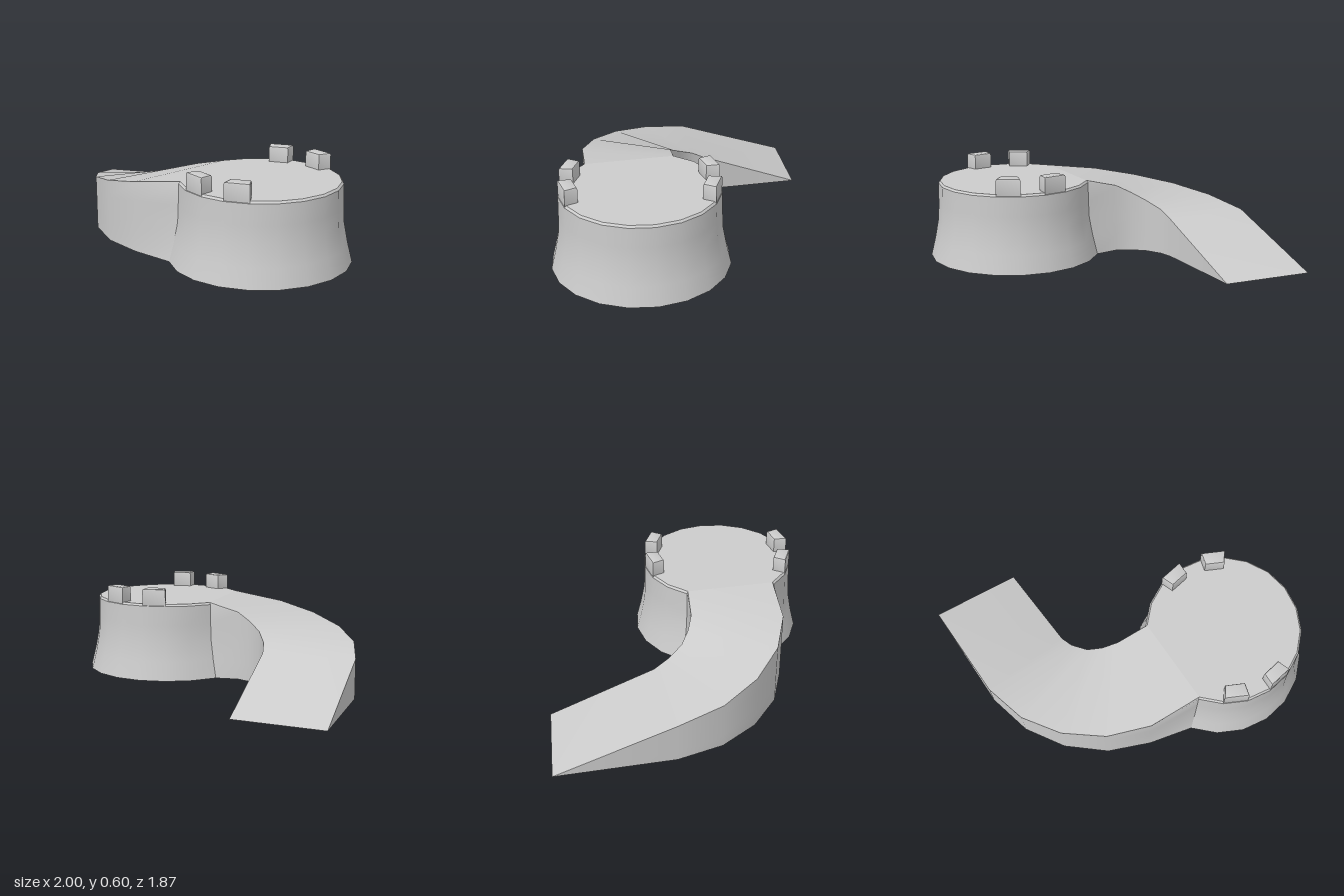
import * as THREE from 'three';
import { toCreasedNormals } from 'three/addons/utils/BufferGeometryUtils.js';

const CX = 0.435, CZ = 0.37, TOP = 0.5, STEP = Math.PI / 10;

// flared tower profile: [radius, height], ending in a small bevel
const PROFILE = [[0.56, 0], [0.53, 0.12], [0.505, 0.25], [0.5, 0.36], [0.497, 0.487], [0.486, 0.5]];

// ramp stations: outer x, outer z, inner x, inner z, height
const RAMP = [
  [-1, -0.94, -0.42, -0.89, 0],
  [-1, -0.2, -0.42, -0.23, 0.25],
  [-0.93, 0.09, -0.4, -0.14, 0.3],
  [-0.78, 0.33, -0.34, -0.04, 0.35],
  [-0.56, 0.52, -0.26, 0.02, 0.4],
  [-0.3, 0.63, -0.165, 0.06, 0.45],
];

const material = new THREE.MeshStandardMaterial({ color: 0xcccccc, side: THREE.DoubleSide });

// surface through a list of equally long point columns
function loft(columns) {
  const rows = columns[0].length;
  const index = [];
  for (let c = 0; c < columns.length - 1; c++) {
    for (let r = 0; r < rows - 1; r++) {
      const a = c * rows + r, b = a + rows;
      index.push(a, b, b + 1, a, b + 1, a + 1);
    }
  }
  return surface(columns.flat(), index);
}

function surface(points, index) {
  const g = new THREE.BufferGeometry();
  g.setAttribute('position', new THREE.Float32BufferAttribute(points.flat(), 3));
  g.setIndex(index);
  return toCreasedNormals(g, 0.62);
}

function addMesh(parent, name, geometry) {
  const mesh = new THREE.Mesh(geometry, material);
  mesh.name = name;
  parent.add(mesh);
  return mesh;
}

// one battlement block: a tapered footprint raised with softened edges
function merlonGeometry() {
  const b = 0.012;
  const shape = new THREE.Shape([
    [-0.076 + b, 0.49 - b], [-0.064 + b, 0.405 + b],
    [0.064 - b, 0.405 + b], [0.076 - b, 0.49 - b],
  ].map(([x, y]) => new THREE.Vector2(x, y)));
  const g = new THREE.ExtrudeGeometry(shape, {
    depth: 0.15 - 2 * b, bevelEnabled: true, bevelSize: b, bevelThickness: b, bevelSegments: 2,
  });
  g.rotateX(Math.PI / 2);
  g.translate(0, 0.6 - b, 0);
  return toCreasedNormals(g, 0.6);
}

export function createModel() {
  const group = new THREE.Group();
  group.name = 'towerWithRamp';

  // tower wall columns, leaving a four-sided gap where the ramp joins
  const tower = [];
  for (let i = 2; i <= 18; i++) {
    const a = i * STEP;
    tower.push(PROFILE.map(([r, y]) => [CX - r * Math.cos(a), y, CZ + r * Math.sin(a)]));
  }

  // straight ramp wall columns share the tower's height levels
  const column = (x, z, h) => PROFILE.map(([, y]) => [x, (y / TOP) * h, z]);
  const outer = RAMP.map(([x, z, , , h]) => column(x, z, h));
  const inner = RAMP.map(([, , x, z, h]) => column(x, z, h));

  addMesh(group, 'rampOuterWall', loft([...outer, tower[0]]));
  addMesh(group, 'towerWall', loft(tower));
  addMesh(group, 'rampInnerWall', loft([tower[16], ...inner.reverse()]));

  // sloping ramp surface, meeting the platform along the gap
  const rim = tower.map((c) => c[c.length - 1]);
  const treads = RAMP.map(([ox, oz, ix, iz, h]) => [[ox, h, oz], [ix, h, iz]]);
  treads.push([rim[0], rim[16]]);
  addMesh(group, 'rampSurface', loft(treads));

  // flat tower platform
  const fan = [];
  for (let i = 1; i <= 17; i++) fan.push(0, i, (i % 17) + 1);
  addMesh(group, 'towerPlatform', surface([[CX, TOP, CZ], ...rim], fan));

  // two battlements at the front and two at the back
  const block = merlonGeometry();
  for (const degrees of [9, -27, 153, 189]) {
    const merlon = addMesh(group, 'merlon', block);
    merlon.position.set(CX, 0, CZ);
    merlon.rotation.y = THREE.MathUtils.degToRad(degrees);
  }
  return group;
}
